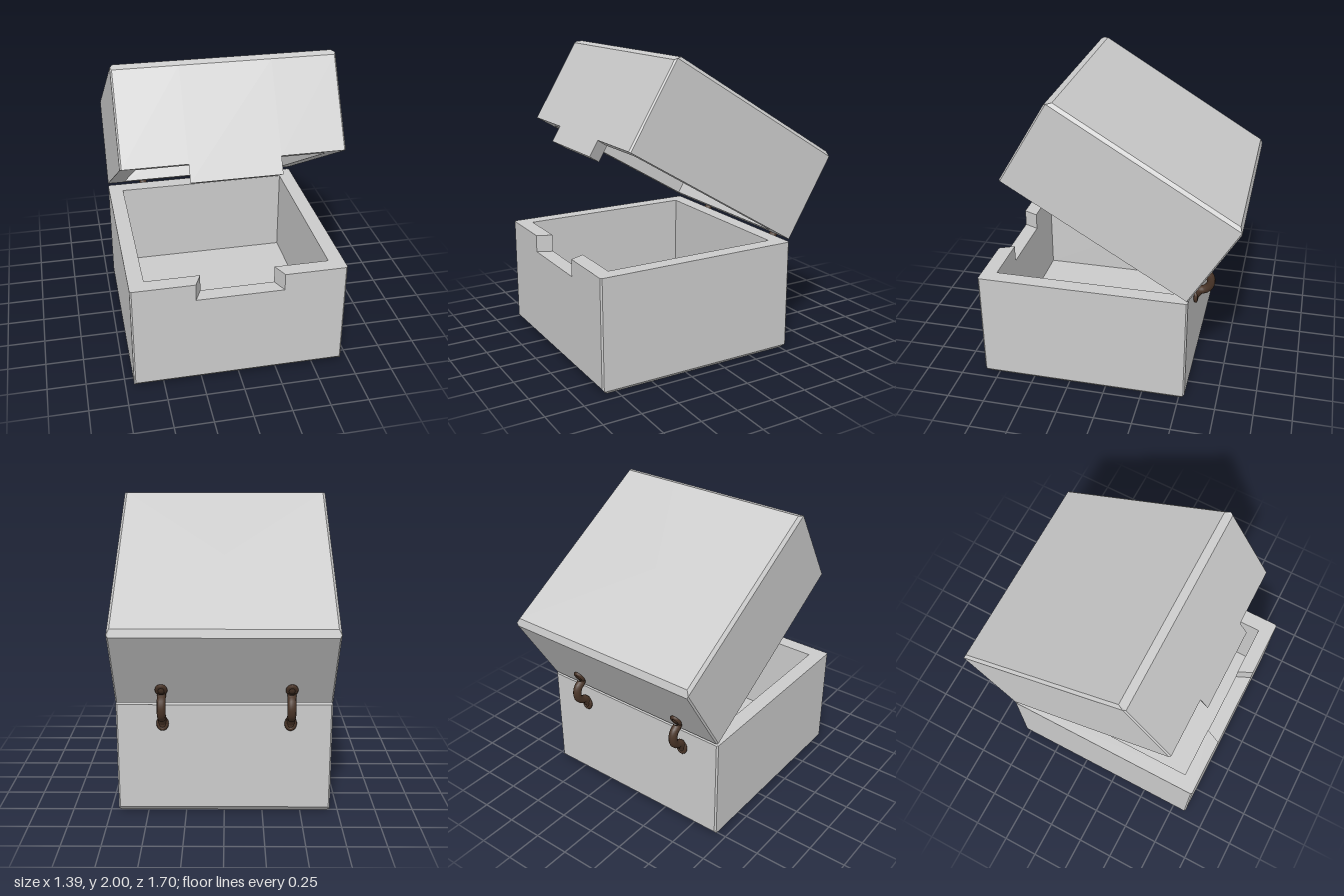
import * as THREE from 'three';

const S = 0.695; // half width of the square box
const HINGE_Y = 0.766, HINGE_Z = -0.54, TILT = THREE.MathUtils.degToRad(31);

const grey = new THREE.MeshStandardMaterial({ color: 0xcccccc, flatShading: true });
const bronze = new THREE.MeshStandardMaterial({ color: 0x4a3528 });

function named(name, geometry, material) {
  const mesh = new THREE.Mesh(geometry, material);
  mesh.name = name;
  return mesh;
}

// Open box made of matching rings: bottom, bevel, outer rim, inner rim, floor.
// step raises (tongue) or lowers (notch) the middle of the front rim.
function openBox(height, depth, step, skew = 0) {
  const a = S - 0.01, n = 0.285, m = 0.24, w = 0.595;
  // outer x, outer z, inner x, inner z, rim offset
  const plan = [
    [-a, S, -w, w, 0], [-n, S, -m, w, 0], [-n, S, -m, w, step],
    [n, S, m, w, step], [n, S, m, w, 0], [a, S, w, w, 0],
    [S, a, w, w, 0], [S, -a, w - skew, -w, 0], [a, -S, w - skew, -w, 0],
    [-a, -S, -w, -w, 0], [-S, -a, -w, -w, 0], [-S, a, -w, w, 0],
  ];
  const clamp = THREE.MathUtils.clamp;
  const V = (x, y, z) => new THREE.Vector3(x, y, z);
  const rings = [
    plan.map(([x, z]) => V(clamp(x, -0.677, 0.677), 0, clamp(z, -0.658, 0.658))),
    plan.map(([x, z]) => V(x, Math.abs(z) === S ? 0.038 : 0.022, z)),
    plan.map(([x, z, , , d]) => V(x, height + d, z)),
    plan.map(([, , x, z, d]) => V(x, height + d, z)),
    plan.map(([, , x, z]) => V(x, height - depth, z)),
  ];
  const pos = [];
  const tri = (p, q, r) => {
    const area = q.clone().sub(p).cross(r.clone().sub(p)).length();
    if (area > 1e-8) for (const v of [p, q, r]) pos.push(v.x, v.y, v.z);
  };
  const N = plan.length;
  const under = V(0, 0, 0), floor = V(0, height - depth, 0);
  for (let i = 0; i < N; i++) {
    const j = (i + 1) % N;
    tri(under, rings[0][j], rings[0][i]);
    for (let k = 0; k < 4; k++) {
      tri(rings[k][i], rings[k][j], rings[k + 1][j]);
      tri(rings[k][i], rings[k + 1][j], rings[k + 1][i]);
    }
    tri(floor, rings[4][i], rings[4][j]);
  }
  const geometry = new THREE.BufferGeometry();
  geometry.setAttribute('position', new THREE.Float32BufferAttribute(pos, 3));
  geometry.computeVertexNormals();
  return geometry;
}

// Flattened eyelet with a rivet, lying on a rear face
function eyelet(name) {
  const group = new THREE.Group();
  group.name = name;
  const ring = named('eyeletRing', new THREE.TorusGeometry(0.027, 0.013, 8, 20), bronze);
  ring.scale.y = 1.25;
  const rivet = named('rivet', new THREE.SphereGeometry(0.026, 14, 10), bronze);
  rivet.scale.set(1, 1.25, 0.6);
  group.add(ring, rivet);
  return group;
}

function hinge(x) {
  const group = new THREE.Group();
  group.name = 'hinge';
  group.position.x = x;
  // Curved link from the base to the lid
  const path = new THREE.CatmullRomCurve3([
    [0.64, -0.55], [0.675, -0.575], [0.69, -0.61], [0.72, -0.638], [0.76, -0.645],
    [0.80, -0.63], [0.825, -0.60], [0.85, -0.595], [0.87, -0.61],
  ].map(([y, z]) => new THREE.Vector3(0, y, z)));
  group.add(named('hingeLink', new THREE.TubeGeometry(path, 32, 0.028, 10), bronze));

  const lower = eyelet('lowerEyelet');
  lower.position.set(0, 0.628, HINGE_Z - 0.012);
  const upper = eyelet('upperEyelet');
  const u = 0.12; // distance up the back of the lid
  upper.position.set(0, HINGE_Y + u * Math.cos(TILT) + 0.006, HINGE_Z - u * Math.sin(TILT) - 0.012);
  upper.rotation.x = -TILT;
  group.add(lower, upper);
  return group;
}

export function createModel() {
  const model = new THREE.Group();
  model.name = 'hingedBox';

  // Base with a notch in its front wall
  const base = named('base', openBox(0.75, 0.6, -0.115), grey);
  base.position.z = HINGE_Z + S;
  model.add(base);

  // Lid: the same kind of box turned over, with a tongue that fits the notch
  const lid = new THREE.Group();
  lid.name = 'lid';
  const shell = named('lidShell', openBox(0.632, 0.58, 0.113, 0.018), grey);
  shell.rotation.z = Math.PI;
  shell.position.set(0, 0.632, S);
  lid.add(shell);
  lid.position.set(0, HINGE_Y, HINGE_Z);
  lid.rotation.x = -TILT;
  model.add(lid);

  for (const x of [-0.425, 0.395]) model.add(hinge(x));
  return model;
}
